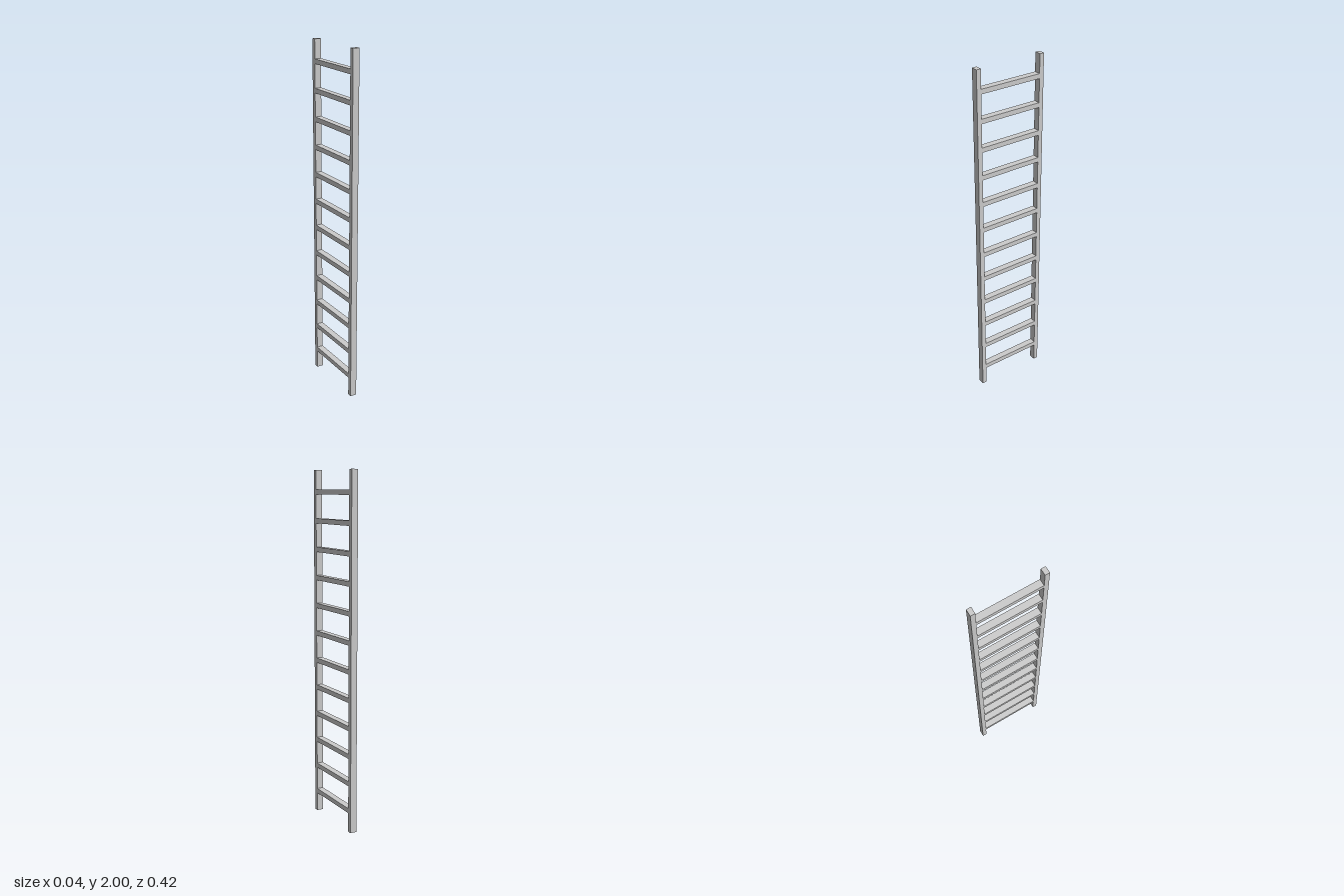
import * as THREE from 'three';

const WIDTH = 0.038;   // depth of rails and rungs along x
const RAIL = 0.026;    // rail thickness along z
const HALF = 0.208;    // outer half span along z
const RUNGS = 12;

export function createModel() {
  const ladder = new THREE.Group();
  ladder.name = 'ladder';
  const material = new THREE.MeshStandardMaterial({ color: 0xcccccc, flatShading: true });

  const addBox = (name, height, length, y, z) => {
    const mesh = new THREE.Mesh(new THREE.BoxGeometry(WIDTH, height, length), material);
    mesh.name = name;
    mesh.position.set(0, y, z);
    ladder.add(mesh);
  };

  // Two upright rails
  addBox('frontRail', 2, RAIL, 1, HALF - RAIL / 2);
  addBox('backRail', 2, RAIL, 1, -HALF + RAIL / 2);

  // Evenly spaced rungs, flush with the rails
  for (let i = 0; i < RUNGS; i++) {
    addBox(`rung${i + 1}`, 0.027, 2 * (HALF - RAIL), 0.124 + i * 0.1597, 0);
  }
  return ladder;
}
